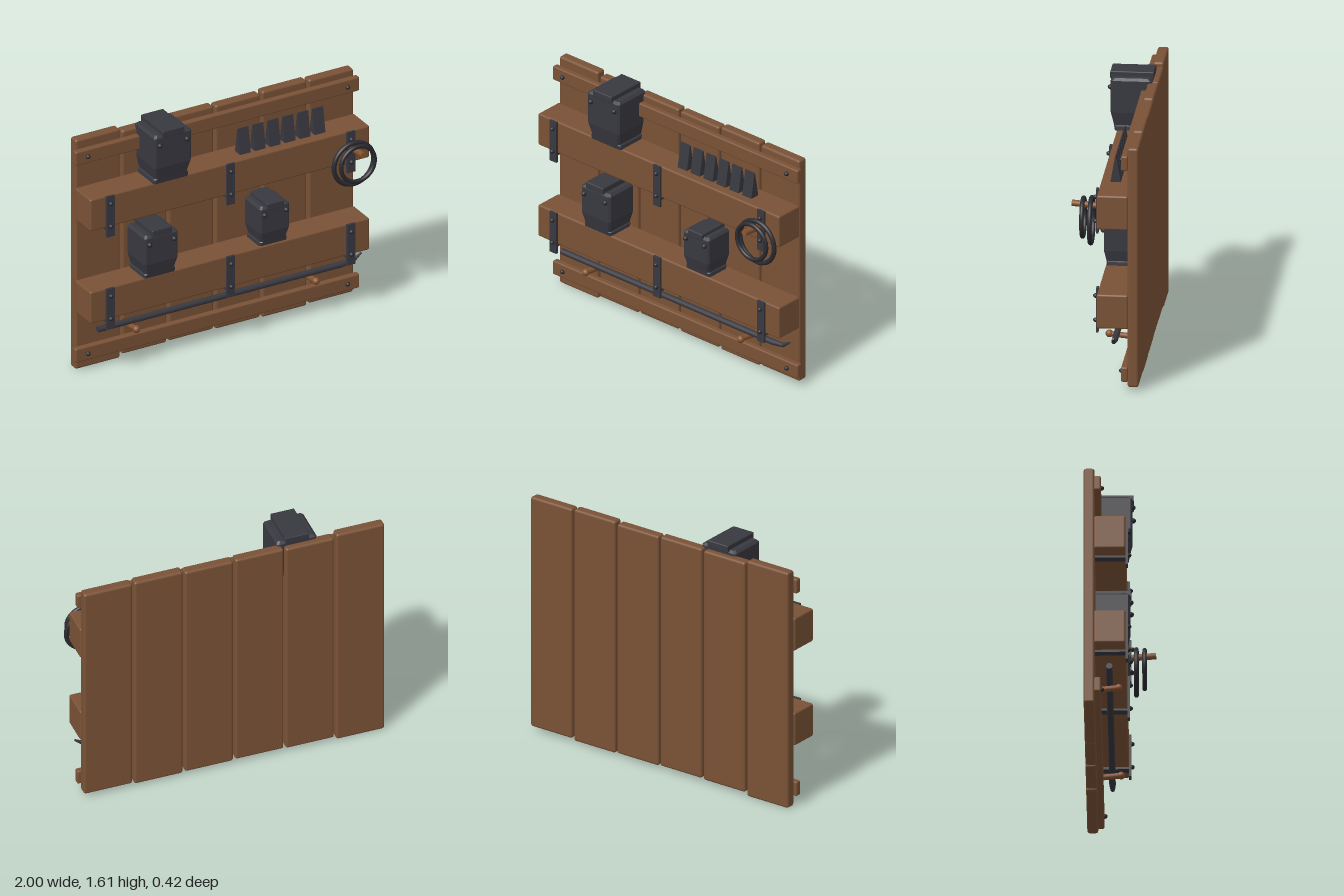
import * as THREE from 'three';
import { RoundedBoxGeometry } from 'three/addons/geometries/RoundedBoxGeometry.js';

const std = (name, color) => {
  const m = new THREE.MeshStandardMaterial({ color });
  m.name = name;
  return m;
};

export function createModel() {
  const root = new THREE.Group();
  root.name = 'toolRack';
  const wood = std('wood', 0x7a5236);
  const peg = std('pegWood', 0x85532f);
  const iron = std('iron', 0x383840);
  const dark = std('darkIron', 0x2a2a30);

  const add = (name, geo, mat, x = 0, y = 0, z = 0, parent = root) => {
    const m = new THREE.Mesh(geo, mat);
    m.name = name;
    m.position.set(x, y, z);
    parent.add(m);
    return m;
  };

  // Box given by its limits, with softened edges
  const block = (name, x0, x1, y0, y1, z0, z1, mat, r) =>
    add(name, new RoundedBoxGeometry(x1 - x0, y1 - y0, z1 - z0, 2, r), mat,
      (x0 + x1) / 2, (y0 + y1) / 2, (z0 + z1) / 2);

  // Domed bolt head facing +z
  const bolt = (x, y, z, r = 0.015, parent = root) => {
    const g = new THREE.SphereGeometry(r, 12, 6, 0, Math.PI * 2, 0, Math.PI / 2);
    g.rotateX(Math.PI / 2);
    g.scale(1, 1, 1.3);
    add('bolt', g, dark, x, y, z, parent);
  };

  // Round rod between two points
  const rod = (name, a, b, r0, r1, mat, sides = 12) => {
    const p = new THREE.Vector3(...a), q = new THREE.Vector3(...b);
    const d = q.clone().sub(p);
    const m = add(name, new THREE.CylinderGeometry(r1, r0, d.length(), sides), mat);
    m.position.copy(p).add(q).multiplyScalar(0.5);
    m.quaternion.setFromUnitVectors(new THREE.Vector3(0, 1, 0), d.normalize());
  };

  // Stack of chamfered rectangles [y, halfX, halfZ] joined into a solid
  const loft = (sections, c) => {
    const pos = [];
    const rings = sections.map(([y, a, b]) => [
      [a, b - c], [a, c - b], [a - c, -b], [c - a, -b],
      [-a, c - b], [-a, b - c], [c - a, b], [a - c, b],
    ].map(([x, z]) => [x, y, z]));
    const tri = (...pts) => pts.forEach((p) => pos.push(...p));
    const last = rings[rings.length - 1];
    for (let i = 0; i < rings.length - 1; i++) {
      for (let j = 0; j < 8; j++) {
        const k = (j + 1) % 8, lo = rings[i], hi = rings[i + 1];
        tri(lo[j], lo[k], hi[k]);
        tri(lo[j], hi[k], hi[j]);
      }
    }
    for (let j = 1; j < 7; j++) {
      tri(last[0], last[j], last[j + 1]);
      tri(rings[0][0], rings[0][j + 1], rings[0][j]);
    }
    const g = new THREE.BufferGeometry();
    g.setAttribute('position', new THREE.Float32BufferAttribute(pos, 3));
    g.computeVertexNormals();
    return g;
  };

  // Back planks, each slightly different in length
  [[0, 1.57], [0.02, 1.55], [0.025, 1.555], [0.02, 1.55], [0.015, 1.56], [0.025, 1.555]]
    .forEach(([y0, y1], i) => {
      const x = -0.822 + i * 0.328;
      block('backPlank', x - 0.157, x + 0.157, y0, y1, -0.21, -0.143, wood, 0.015);
    });

  // Cross battens with end bolts
  [[0.065, 0.16], [1.415, 1.51]].forEach(([y0, y1]) => {
    block('batten', -1, 0.995, y0, y1, -0.147, -0.105, wood, 0.01);
    [-0.915, 0.91].forEach((x) => bolt(x, (y0 + y1) / 2, -0.105));
  });

  // Shelf beams with iron straps running down the front and back underneath
  [0.397, 1.03].forEach((y) => {
    block('shelfBeam', -0.985, 0.978, y, y + 0.218, -0.147, 0.045, wood, 0.012);
    [-0.85, -0.005, 0.84].forEach((x) => {
      add('strap', new THREE.BoxGeometry(0.056, 0.278, 0.015), iron, x, y + 0.079, 0.0525);
      add('strapFoot', new THREE.BoxGeometry(0.056, 0.014, 0.195), iron, x, y - 0.007, -0.047);
      bolt(x, y + 0.012, 0.06);
      bolt(x, y + 0.167, 0.06);
    });
  });

  // Iron heads: [x, base y, half width, body height, lid half width, lid top]
  [[-0.423, 1.245, 0.13, 0.335, 0.078, 0.365],
    [-0.497, 0.61, 0.118, 0.295, 0.07, 0.33],
    [0.308, 0.615, 0.104, 0.27, 0.06, 0.29]].forEach(([x, y, w, h, lw, top]) => {
    const g = new THREE.Group();
    g.name = 'ironHead';
    g.position.set(x, y, -0.045);
    root.add(g);
    add('headBody', loft([
      [0, w * 0.95, w * 0.78],
      [h * 0.08, w * 0.93, w * 0.82],
      [h * 0.1, w * 0.86, w * 0.83],
      [h * 0.35, w, w * 0.97],
      [h - 0.015, w, w * 0.97],
      [h, w - 0.015, w * 0.97 - 0.015],
    ], 0.012), iron, 0, 0, 0, g);
    const lidH = 0.046;
    add('headLid', new RoundedBoxGeometry(lw * 2, lidH, w * 2.06, 1, 0.006), iron,
      0, top - lidH / 2, 0, g);
    [-1, 1].forEach((s) => bolt(s * w * 0.73, h * 0.81, w * 0.96, 0.017, g));
  });

  // Row of wedges on the upper shelf
  const tri = new THREE.Shape();
  tri.moveTo(-0.032, 0);
  tri.lineTo(0.032, 0);
  tri.lineTo(0.003, 0.168);
  tri.lineTo(-0.003, 0.168);
  const wedge = new THREE.ExtrudeGeometry(tri, { depth: 0.075, bevelEnabled: false });
  wedge.translate(0, 0, -0.0375);
  wedge.rotateY(Math.PI / 2);
  for (let i = 0; i < 6; i++) add('wedge', wedge, iron, 0.139 + i * 0.105, 1.246, -0.045);

  // Two rings hanging from a peg
  add('largeRing', new THREE.TorusGeometry(0.139, 0.015, 10, 40), dark, 0.84, 1.045, 0.09);
  add('smallRing', new THREE.TorusGeometry(0.118, 0.014, 10, 40), dark, 0.84, 1.064, 0.14);
  rod('ringPeg', [0.84, 1.138, 0.03], [0.84, 1.154, 0.21], 0.02, 0.02, peg);

  // Pry bar with a bent, tapering tip
  rod('barShaft', [-0.875, 0.29, -0.055], [0.845, 0.29, -0.055], 0.02, 0.02, iron, 10);
  rod('barNeck', [0.84, 0.29, -0.055], [0.925, 0.298, -0.055], 0.02, 0.014, iron, 10);
  rod('barTip', [0.92, 0.296, -0.055], [0.978, 0.335, -0.055], 0.014, 0.006, iron, 10);

  // Pegs carrying the bar
  [-0.635, 0.627].forEach((x) => {
    rod('barPeg', [x, 0.238, -0.15], [x, 0.254, 0], 0.018, 0.018, peg);
    add('barPegKnob', new THREE.SphereGeometry(0.024, 14, 10), peg, x, 0.254, 0);
  });

  return root;
}
